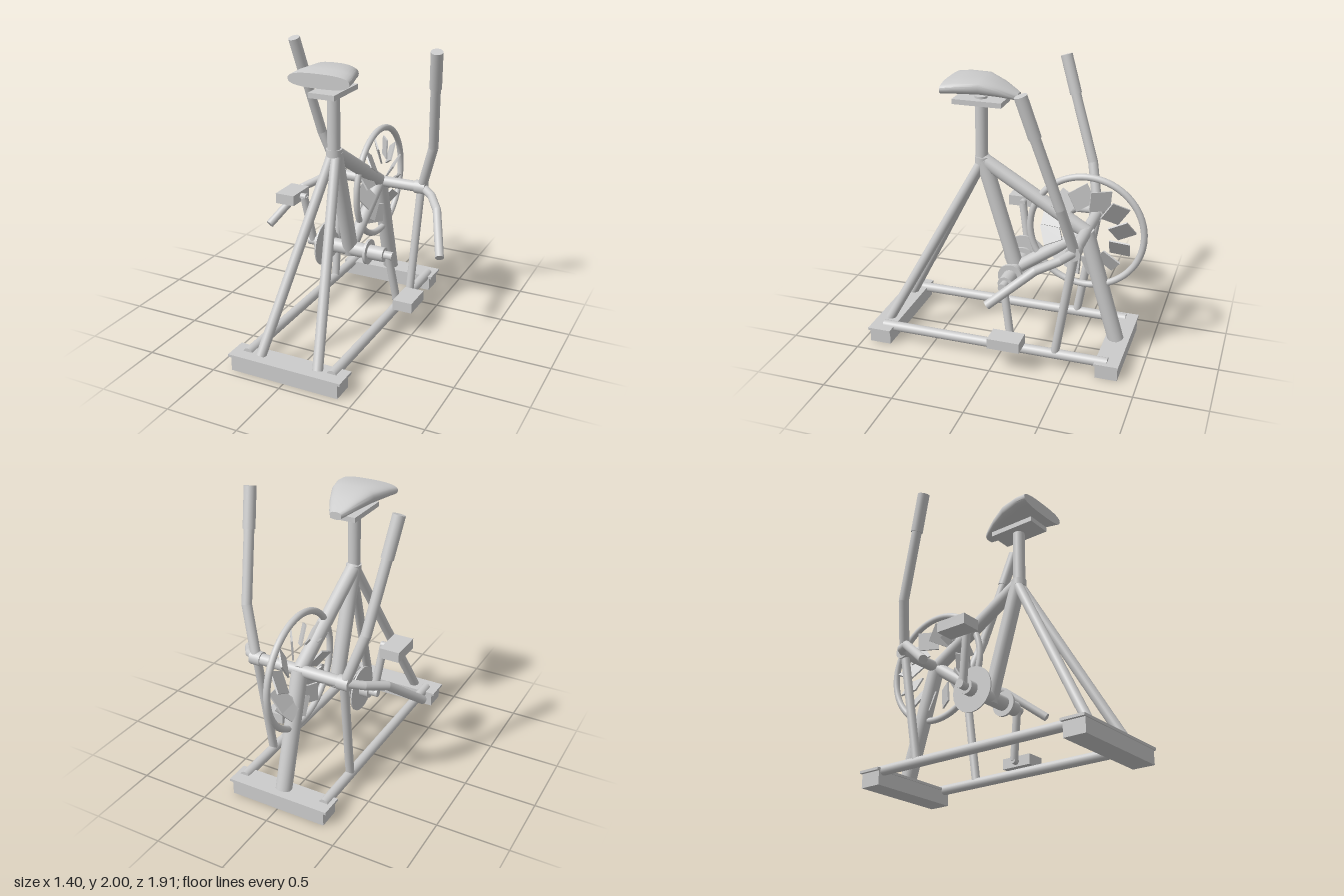
import * as THREE from 'three';
import { toCreasedNormals } from 'three/addons/utils/BufferGeometryUtils.js';

const grey = new THREE.MeshStandardMaterial({ color: 0xcccccc });
const V = (x, y, z) => new THREE.Vector3(x, y, z);

export function createModel() {
  const model = new THREE.Group();
  model.name = 'exerciseBike';

  const add = (name, geometry, x = 0, y = 0, z = 0, parent = model) => {
    const mesh = new THREE.Mesh(geometry, grey);
    mesh.name = name;
    mesh.position.set(x, y, z);
    parent.add(mesh);
    return mesh;
  };
  const box = (name, w, h, d, x, y, z) => add(name, new THREE.BoxGeometry(w, h, d), x, y, z);

  // Straight round bar between two points
  const bar = (name, a, b, r) => {
    const dir = b.clone().sub(a);
    const mid = a.clone().add(b).multiplyScalar(0.5);
    const mesh = add(name, new THREE.CylinderGeometry(r, r, dir.length(), 24), mid.x, mid.y, mid.z);
    mesh.quaternion.setFromUnitVectors(V(0, 1, 0), dir.normalize());
    return mesh;
  };
  // Bent bar: straight pieces with round elbows
  const bentBar = (name, points, r) => {
    for (let i = 1; i < points.length; i++) {
      bar(name, points[i - 1], points[i], r);
      if (i < points.length - 1) add(name + 'Elbow', new THREE.SphereGeometry(r, 20, 12), ...points[i].toArray());
    }
  };

  const hub = V(0, 0.91, -0.535);
  const crankCentre = V(0, 0.56, -0.04);
  const seatJoint = V(0, 1.35, 0.2);

  // Base feet with thin overhanging lids
  for (const [name, half, z] of [['frontFoot', 0.41, 0.867], ['rearFoot', 0.373, -0.785]]) {
    box(name, half * 2 - 0.04, 0.1, 0.155, 0, 0.05, z);
    box(name + 'Lid', half * 2, 0.018, 0.168, 0, 0.107, z);
  }

  // Frame tubes
  bar('seatTube', seatJoint, V(0, 0.53, -0.05), 0.054);
  bar('topTube', seatJoint, hub, 0.05);
  bar('lowerTube', crankCentre, hub, 0.045);
  bar('rearStay', hub, V(0, 0.11, -0.775), 0.056);
  add('seatCollar', new THREE.CylinderGeometry(0.054, 0.054, 0.05, 24), 0, 1.35, 0.205);

  // Seat post, plate and saddle
  bar('seatPost', V(0, 1.33, 0.21), V(0, 1.8, 0.21), 0.043);
  box('seatPlate', 0.185, 0.035, 0.345, 0, 1.768, 0.213);
  add('saddle', saddleGeometry());

  // Fan wheel: rim and twisted blades
  const wheel = new THREE.Group();
  wheel.name = 'fanWheel';
  wheel.position.copy(hub);
  model.add(wheel);
  add('rim', new THREE.TorusGeometry(0.397, 0.023, 16, 72), 0, 0, 0, wheel).rotation.y = Math.PI / 2;
  const blades = 12;
  for (let i = 0; i < blades; i++) {
    const pivot = new THREE.Group();
    pivot.name = 'bladePivot';
    pivot.rotation.x = ((i + 0.3) / blades) * Math.PI * 2;
    wheel.add(pivot);
    const blade = add('fanBlade', new THREE.BoxGeometry(0.012, 0.14, 0.15), 0, 0.25, 0, pivot);
    blade.rotation.set(0.3, 0.6, 0);
  }

  // Axles and discs lying along x
  bar('hubAxle', V(-0.34, hub.y, hub.z), V(0.34, hub.y, hub.z), 0.04);
  const disc = (name, x, width, r) =>
    bar(name, V(x - width / 2, crankCentre.y, crankCentre.z), V(x + width / 2, crankCentre.y, crankCentre.z), r);
  disc('crankAxle', 0, 0.535, 0.052);
  disc('driveDisc', -0.2, 0.01, 0.16);
  disc('axleFlange', -0.145, 0.018, 0.09);
  disc('axleFlange', 0.143, 0.018, 0.09);

  // Cranks and pedals, opposed
  for (const [s, pedal] of [[1, V(0.335, 0.215, -0.1)], [-1, V(-0.335, 0.915, 0.02)]]) {
    const end = V(s * 0.295, crankCentre.y, crankCentre.z);
    disc('crankBoss', s * 0.297, 0.065, 0.03);
    bar('crank', end, pedal, 0.028);
    bar('pedalSpindle', pedal.clone().add(V(-s * 0.02, 0, 0)), pedal.clone().add(V(s * 0.04, 0, 0)), 0.024);
    box('pedal', 0.142, 0.074, 0.228, s * 0.429, pedal.y, pedal.z);
  }

  // Mirrored parts
  for (const s of [1, -1]) {
    bar('frontLeg', V(s * 0.21, 0.11, 0.865), V(s * 0.012, 1.35, 0.2), 0.035);
    bar('sideRail', V(s * 0.31, 0.105, -0.785), V(s * 0.31, 0.105, 0.868), 0.035);
    bar('leverLink', V(s * 0.33, 0.91, -0.54), V(s * 0.31, 0.12, -0.415), 0.03);
    bar('leverCollar', V(s * 0.29, hub.y, hub.z), V(s * 0.37, hub.y, hub.z), 0.05);

    // Upright handle with a thicker grip
    const knee = V(s * 0.443, 1.25, -0.465);
    const top = V(s * 0.533, 1.985, -0.23);
    const grip = V(s * 0.501, 1.72, -0.313);
    bentBar('handleLever', [V(s * 0.335, 0.91, -0.54), knee, grip], 0.035);
    bar('handleGrip', grip, top, 0.042);

    // Drooping side arm
    bentBar('sideArm', [
      V(s * 0.335, 0.915, -0.545), V(s * 0.44, 0.885, -0.465),
      V(s * 0.535, 0.84, -0.33), V(s * 0.67, 0.615, -0.05),
    ], 0.03);
  }
  return model;
}

// Saddle: rounded cross-sections from the wide end to the nose
function saddleGeometry() {
  // z, half width, bottom, top
  const sections = [
    [0.42, 0.217, 1.828, 1.922], [0.33, 0.203, 1.832, 1.937], [0.18, 0.158, 1.828, 1.946],
    [0.06, 0.108, 1.815, 1.902], [-0.02, 0.066, 1.8, 1.86], [-0.055, 0.042, 1.79, 1.842],
  ];
  const n = 32, pos = [], index = [];
  const round = (t) => Math.sign(t) * Math.abs(t) ** 0.75;
  for (const [z, w, lo, hi] of sections) {
    for (let j = 0; j < n; j++) {
      const a = (j / n) * Math.PI * 2;
      pos.push(w * round(Math.cos(a)), (lo + hi) / 2 + ((hi - lo) / 2) * round(Math.sin(a)), z);
    }
  }
  const last = sections.length - 1;
  for (let j = 0; j < n; j++) {
    const k = (j + 1) % n;
    for (let i = 0; i < last; i++) {
      const a = i * n, b = a + n;
      index.push(a + j, b + j, a + k, a + k, b + j, b + k);
    }
    // End caps
    if (j > 0 && k > 0) index.push(0, j, k, last * n, last * n + k, last * n + j);
  }
  const g = new THREE.BufferGeometry();
  g.setAttribute('position', new THREE.Float32BufferAttribute(pos, 3));
  g.setIndex(index);
  return toCreasedNormals(g, 0.6);
}
